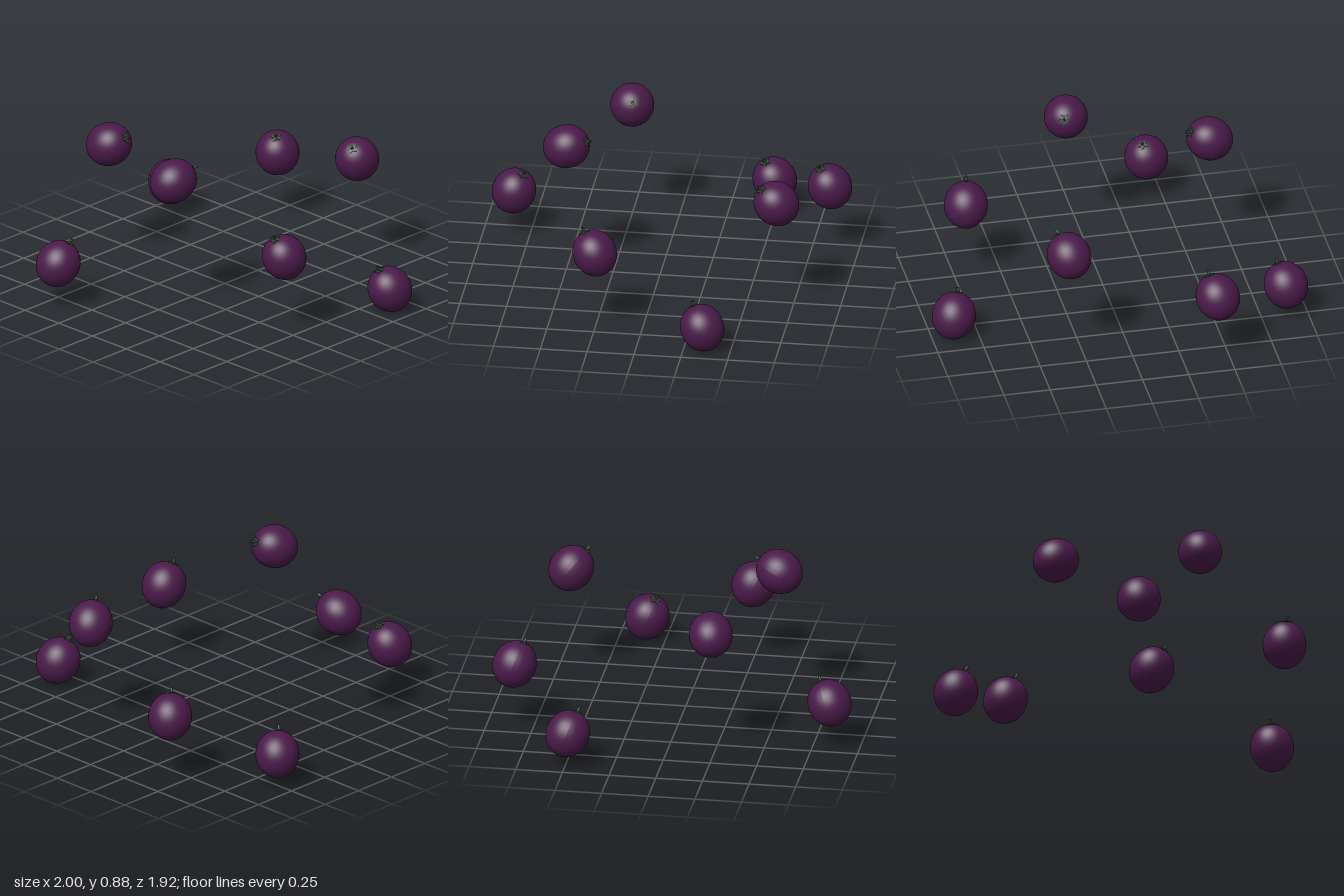
import * as THREE from 'three';

const skin = new THREE.MeshStandardMaterial({ color: 0x4a1a4a });
const green = new THREE.MeshStandardMaterial({ color: 0x2d4a2d, side: THREE.DoubleSide });

const R = 0.116, H = 0.127; // equatorial radius and half length of a berry
const LEAVES = 5;

// Berry centre, then the direction its stem points
const berries = [
  [[-0.885, 0.177, -0.49], [0.27, 0.89, 0.36]],
  [[-0.44, 0.368, -0.847], [0.27, 0.89, 0.36]],
  [[-0.414, 0.246, 0.837], [0.25, 0.89, -0.42]],
  [[-0.628, 0.687, 0.235], [0.86, 0.49, -0.14]],
  [[0.096, 0.766, 0.486], [0.26, 0.38, -0.88]],
  [[0.326, 0.613, -0.667], [0.3, 0.74, 0.6]],
  [[0.687, 0.433, 0.253], [-0.11, 0.89, 0.43]],
  [[0.881, 0.126, -0.348], [-0.25, 0.89, 0.38]],
];

// Slightly elongated sphere with a tiny dimple under the stem
function bodyGeometry() {
  const geo = new THREE.SphereGeometry(1, 40, 28);
  const p = geo.attributes.position;
  for (let i = 0; i < p.count; i++) {
    const r = Math.hypot(p.getX(i), p.getZ(i));
    const dimple = p.getY(i) > 0 ? 0.004 * Math.exp(-((r / 0.14) ** 2)) : 0;
    p.setXYZ(i, p.getX(i) * R, p.getY(i) * H - dimple, p.getZ(i) * R);
  }
  geo.computeVertexNormals();
  return geo;
}

// Small five-pointed star, domed to sit on the berry
function calyxGeometry() {
  const star = new THREE.Shape();
  for (let i = 0; i < LEAVES * 2; i++) {
    const a = (i / (LEAVES * 2)) * Math.PI * 2, r = i % 2 ? 0.017 : 0.03;
    star[i ? 'lineTo' : 'moveTo'](Math.cos(a) * r, Math.sin(a) * r);
  }
  const geo = new THREE.ExtrudeGeometry(star, { depth: 0.004, bevelEnabled: false });
  geo.rotateX(-Math.PI / 2);
  const p = geo.attributes.position;
  for (let i = 0; i < p.count; i++) {
    const r2 = p.getX(i) ** 2 + p.getZ(i) ** 2;
    p.setY(i, p.getY(i) + H - 0.001 - r2 * 4);
  }
  geo.computeVertexNormals();
  return geo;
}

// Short, slightly bent stem
function stemGeometry() {
  const path = new THREE.QuadraticBezierCurve3(
    new THREE.Vector3(0, H - 0.006, 0),
    new THREE.Vector3(0, H + 0.012, 0),
    new THREE.Vector3(0.004, H + 0.026, 0));
  return new THREE.TubeGeometry(path, 6, 0.0075, 8);
}

export function createModel() {
  const model = new THREE.Group();
  model.name = 'scatteredBerries';
  const up = new THREE.Vector3(0, 1, 0);
  const tip = new THREE.CircleGeometry(0.0075, 8).rotateX(-Math.PI / 2).translate(0.004, H + 0.026, 0);
  const parts = [
    ['berryBody', bodyGeometry(), skin],
    ['calyx', calyxGeometry(), green],
    ['stem', stemGeometry(), green],
    ['stemTip', tip, green],
  ];
  for (const [centre, direction] of berries) {
    const berry = new THREE.Group();
    berry.name = 'berry';
    for (const [name, geo, mat] of parts) {
      const mesh = new THREE.Mesh(geo, mat);
      mesh.name = name;
      berry.add(mesh);
    }
    berry.position.set(...centre);
    berry.quaternion.setFromUnitVectors(up, new THREE.Vector3(...direction).normalize());
    model.add(berry);
  }
  return model;
}
